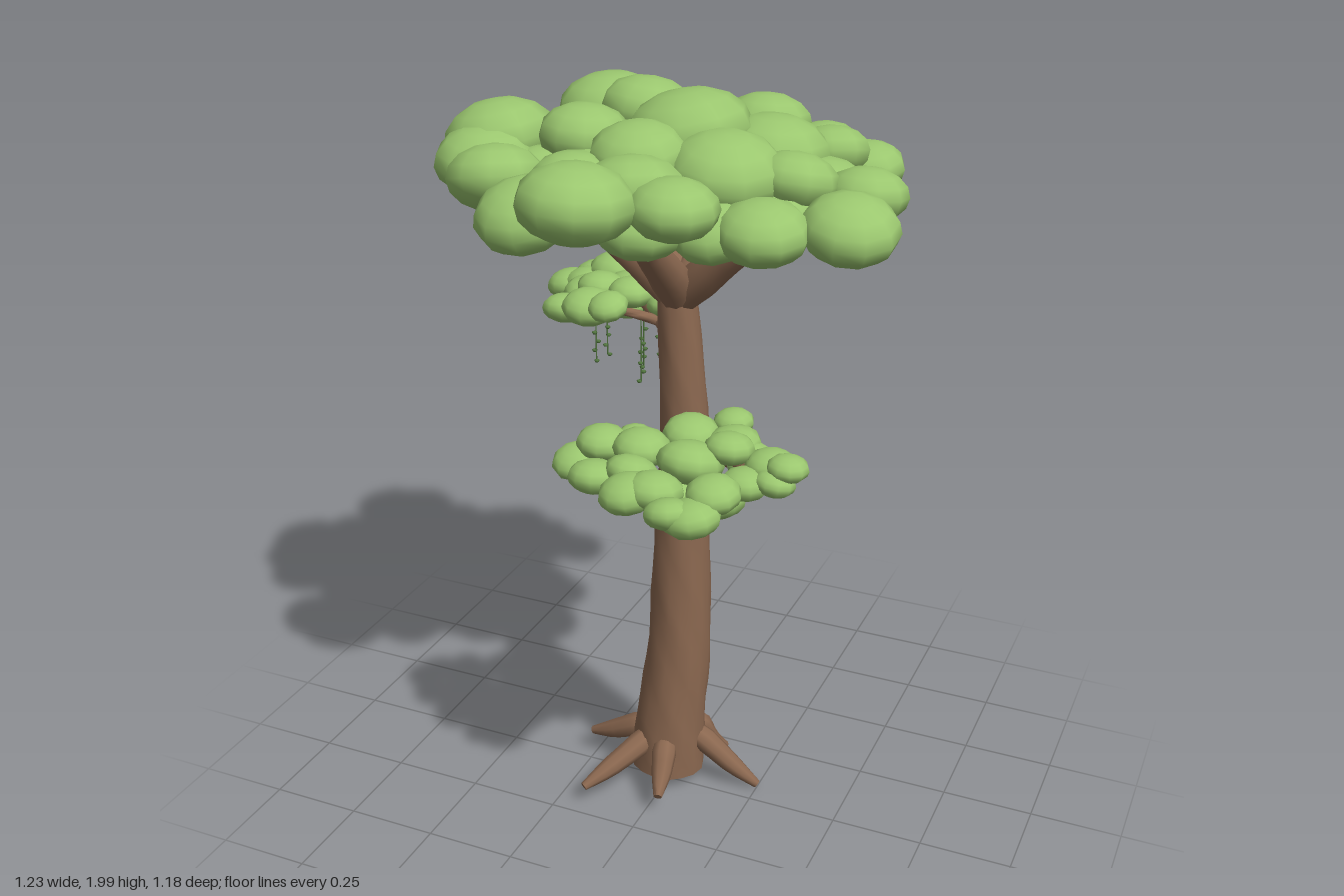
import * as THREE from 'three';
import { toCreasedNormals } from 'three/addons/utils/BufferGeometryUtils.js';

const V = (p) => new THREE.Vector3(...p);

// Tapered, capped limb along a smooth path; each point is [x, y, z, radius]
function limbGeometry(points, sides = 10, rows = 10, lump = 0) {
  const curve = new THREE.CatmullRomCurve3(points.map(V));
  const frames = curve.computeFrenetFrames(rows, false);
  const pos = [], idx = [];
  const ring = (i, scale) => {
    const t = i / rows, c = curve.getPoint(t), f = t * (points.length - 1);
    const k = Math.min(Math.floor(f), points.length - 2);
    const r = scale * THREE.MathUtils.lerp(points[k][3], points[k + 1][3], f - k);
    for (let j = 0; j < sides; j++) {
      const a = (j / sides) * Math.PI * 2;
      const rr = r * (1 + lump * Math.sin(i * 1.7 + j * 2.3));
      pos.push(...c.clone()
        .addScaledVector(frames.normals[i], Math.cos(a) * rr)
        .addScaledVector(frames.binormals[i], Math.sin(a) * rr).toArray());
    }
  };
  ring(0, 0.001);
  for (let i = 0; i <= rows; i++) ring(i, 1);
  ring(rows, 0.001);
  for (let i = 0; i < rows + 2; i++) {
    for (let j = 0; j < sides; j++) {
      const a = i * sides + j, b = i * sides + ((j + 1) % sides);
      idx.push(a, b, a + sides, b, b + sides, a + sides);
    }
  }
  const g = new THREE.BufferGeometry();
  g.setAttribute('position', new THREE.Float32BufferAttribute(pos, 3));
  g.setIndex(idx);
  return toCreasedNormals(g, 0.9);
}

export function createModel() {
  const model = new THREE.Group();
  model.name = 'tree';
  const material = (name, color) => {
    const m = new THREE.MeshStandardMaterial({ color });
    m.name = name;
    return m;
  };
  const bark = material('bark', 0x8b6850);
  const leaf = material('leaf green', 0x9bc76f);
  const vineGreen = material('vine green', 0x52753f);

  const group = (name) => {
    const g = new THREE.Group();
    g.name = name;
    model.add(g);
    return g;
  };
  const limb = (parent, name, points, sides, rows, lump) => {
    const m = new THREE.Mesh(limbGeometry(points, sides, rows, lump), bark);
    m.name = name;
    parent.add(m);
  };

  // Trunk with a gentle sway
  limb(model, 'trunk', [
    [-0.015, 0.05, -0.03, 0.104], [-0.006, 0.22, -0.031, 0.097], [0.013, 0.42, -0.04, 0.088],
    [0.018, 0.64, -0.044, 0.081], [0.02, 0.86, -0.047, 0.073], [0.025, 1.08, -0.048, 0.065],
    [0.018, 1.28, -0.042, 0.059], [0.005, 1.5, -0.036, 0.05],
  ], 16, 22, 0.022);

  // Roots spread out from the foot of the trunk
  const roots = group('roots');
  [
    [0.25, 0.015, -0.06], [-0.26, 0.075, -0.04], [-0.17, 0.065, 0.21],
    [0.04, 0.065, 0.17], [-0.17, 0.06, -0.19], [0.1, 0.025, -0.19],
  ].forEach(([x, y, z]) => {
    const a = Math.atan2(z + 0.03, x + 0.01), c = Math.cos(a), s = Math.sin(a);
    const d = Math.hypot(x + 0.01, z + 0.03);
    const at = (r, h, w) => [-0.01 + c * r, h, -0.03 + s * r, w];
    limb(roots, 'root', [
      at(0.06, 0.165, 0.024), at(0.095, 0.145, 0.036),
      at(d * 0.72, y * 0.55 + 0.06, 0.028), [x, y, z, 0.012],
    ], 9, 8);
  });

  // Main boughs fan out beneath the crown
  const boughs = group('crownBoughs');
  [
    [0.34, 1.73, 0.04], [0.02, 1.74, 0.24], [-0.26, 1.74, 0.06],
    [0.12, 1.74, -0.32], [-0.2, 1.74, -0.27],
  ].forEach(([x, y, z]) => limb(boughs, 'bough', [
    [0.01, 1.46, -0.037, 0.042],
    [0.01 + x * 0.2, 1.53, -0.03 + z * 0.2, 0.052],
    [x * 0.6, 1.64, z * 0.62 - 0.01, 0.04], [x, y, z, 0.022],
  ], 10, 9));

  // Side branches carrying the two lower leaf clumps
  const branches = group('sideBranches');
  limb(branches, 'lowBranch', [[0.03, 1.07, -0.03, 0.03], [0.05, 1.1, 0.06, 0.028], [0.11, 1.13, 0.18, 0.02], [0.18, 1.16, 0.34, 0.012]]);
  limb(branches, 'lowTwig', [[0.1, 1.13, 0.17, 0.016], [0.22, 1.16, 0.22, 0.013], [0.38, 1.19, 0.28, 0.008]]);
  limb(branches, 'lowTwig', [[0.1, 1.13, 0.17, 0.016], [0.03, 1.15, 0.25, 0.012], [-0.07, 1.16, 0.3, 0.008]]);
  limb(branches, 'highBranch', [[0.0, 1.34, -0.05, 0.024], [-0.07, 1.36, -0.12, 0.022], [-0.16, 1.38, -0.2, 0.017], [-0.3, 1.39, -0.34, 0.01]]);
  limb(branches, 'highTwig', [[-0.07, 1.36, -0.12, 0.015], [-0.16, 1.39, -0.08, 0.012], [-0.25, 1.4, -0.06, 0.008]]);

  // Foliage: flattened puffs, each [x, y, z, radius]
  const puff = new THREE.SphereGeometry(1, 10, 8);
  const foliage = (name, flat, list) => {
    const g = group(name);
    list.forEach(([x, y, z, r], i) => {
      const m = new THREE.Mesh(puff, leaf);
      m.name = 'leafPuff';
      m.position.set(x, y, z);
      m.scale.set(r * 1.04, r * flat, r * 1.04);
      m.rotation.set(0.18 * Math.sin(i * 2.1), i * 1.3, 0.18 * Math.cos(i * 1.7));
      g.add(m);
    });
  };
  foliage('crownLeft', 0.7, [
    [-0.475, 1.835, -0.02, 0.14], [-0.465, 1.8, 0.08, 0.125], [-0.38, 1.79, 0.18, 0.12],
    [-0.24, 1.86, -0.03, 0.115], [-0.33, 1.845, -0.37, 0.14], [-0.2, 1.86, -0.33, 0.13],
    [-0.29, 1.795, -0.46, 0.11], [-0.11, 1.79, -0.4, 0.11], [-0.05, 1.85, -0.26, 0.11],
    [-0.28, 1.78, -0.15, 0.13], [-0.42, 1.775, -0.17, 0.1], [-0.18, 1.765, 0.08, 0.13],
    [-0.14, 1.82, 0.24, 0.105], [-0.18, 1.785, 0.41, 0.115], [-0.17, 1.76, -0.22, 0.12],
    [-0.26, 1.75, 0.13, 0.1], [-0.33, 1.77, 0.05, 0.1],
  ]);
  foliage('crownMiddle', 0.68, [
    [0.03, 1.89, -0.05, 0.157], [-0.02, 1.87, 0.13, 0.12], [0.03, 1.83, 0.28, 0.125],
    [-0.03, 1.84, 0.45, 0.135], [0, 1.77, -0.12, 0.15], [0.03, 1.755, 0.12, 0.13],
    [0.1, 1.84, -0.41, 0.115], [0.1, 1.75, -0.5, 0.095], [0.09, 1.745, -0.3, 0.12],
    [0.04, 1.745, 0.26, 0.11],
  ]);
  foliage('crownRight', 0.68, [
    [0.24, 1.78, -0.44, 0.1], [0.38, 1.755, -0.4, 0.095], [0.31, 1.81, -0.3, 0.1],
    [0.22, 1.84, -0.13, 0.14], [0.2, 1.765, -0.29, 0.13], [0.36, 1.77, -0.13, 0.11],
    [0.48, 1.78, -0.07, 0.1], [0.5, 1.75, 0.11, 0.115], [0.33, 1.82, 0.02, 0.105],
    [0.18, 1.84, 0.08, 0.14], [0.32, 1.745, 0.2, 0.11], [0.16, 1.82, 0.345, 0.105],
    [0.3, 1.745, 0.05, 0.11], [0.2, 1.735, 0.2, 0.1],
  ]);
  foliage('lowClump', 0.66, [
    [0.27, 1.14, 0.49, 0.07], [0.3, 1.18, 0.43, 0.065], [0.22, 1.15, 0.51, 0.058],
    [0.435, 1.215, 0.3, 0.05], [0.38, 1.2, 0.27, 0.06], [0.41, 1.18, 0.32, 0.05],
    [0.28, 1.23, 0.28, 0.06], [0.3, 1.17, 0.2, 0.06], [0.2, 1.2, 0.33, 0.08],
    [0.14, 1.2, 0.18, 0.07], [0.17, 1.125, 0.37, 0.065], [0.05, 1.19, 0.28, 0.07],
    [-0.06, 1.18, 0.27, 0.065], [-0.12, 1.13, 0.3, 0.06], [-0.03, 1.14, 0.38, 0.065],
    [0.09, 1.15, 0.45, 0.07], [0.22, 1.215, 0.1, 0.05], [0.28, 1.13, 0.36, 0.07],
    [0.15, 1.16, 0.43, 0.07], [0.25, 1.19, 0.18, 0.07], [0.06, 1.16, 0.36, 0.065],
    [0.34, 1.17, 0.33, 0.06], [0.0, 1.17, 0.2, 0.05],
  ]);
  foliage('highClump', 0.66, [
    [-0.43, 1.36, -0.3, 0.063], [-0.38, 1.36, -0.38, 0.07], [-0.3, 1.33, -0.45, 0.055],
    [-0.22, 1.315, -0.41, 0.065], [-0.3, 1.41, -0.33, 0.075], [-0.2, 1.45, -0.33, 0.06],
    [-0.12, 1.42, -0.3, 0.07], [-0.08, 1.4, -0.23, 0.058], [-0.2, 1.4, -0.23, 0.075],
    [-0.33, 1.37, -0.22, 0.07], [-0.25, 1.4, -0.05, 0.07], [-0.16, 1.43, -0.12, 0.06],
    [-0.27, 1.32, -0.33, 0.07], [-0.18, 1.42, -0.02, 0.052], [-0.34, 1.37, -0.09, 0.06],
    [-0.065, 1.41, -0.14, 0.055], [-0.25, 1.37, -0.38, 0.07], [-0.37, 1.37, -0.3, 0.07],
    [-0.26, 1.42, -0.15, 0.065], [-0.15, 1.39, -0.37, 0.06],
  ]);

  // Thin vines with small alternating leaves
  const vines = group('hangingVines');
  const stem = new THREE.CylinderGeometry(0.002, 0.002, 1, 5);
  const vineLeaf = new THREE.SphereGeometry(0.008, 5, 4);
  [
    [-0.28, -0.22, 1.35], [-0.28, -0.15, 1.36], [-0.15, -0.175, 1.37],
    [-0.105, -0.06, 1.38], [-0.145, -0.27, 1.38],
  ].forEach(([x, z, top], v) => {
    const bottom = 1.2 + 0.008 * (v % 2), h = top - bottom;
    const s = new THREE.Mesh(stem, vineGreen);
    s.name = 'vineStem';
    s.position.set(x, bottom + h / 2, z);
    s.scale.y = h;
    vines.add(s);
    for (let i = 0; i < 5; i++) {
      const l = new THREE.Mesh(vineLeaf, vineGreen);
      l.name = 'vineLeaf';
      const a = i * 2.4 + v;
      l.position.set(x + Math.cos(a) * 0.006, bottom + i * 0.027, z + Math.sin(a) * 0.006);
      l.scale.y = 0.6;
      vines.add(l);
    }
  });
  return model;
}
